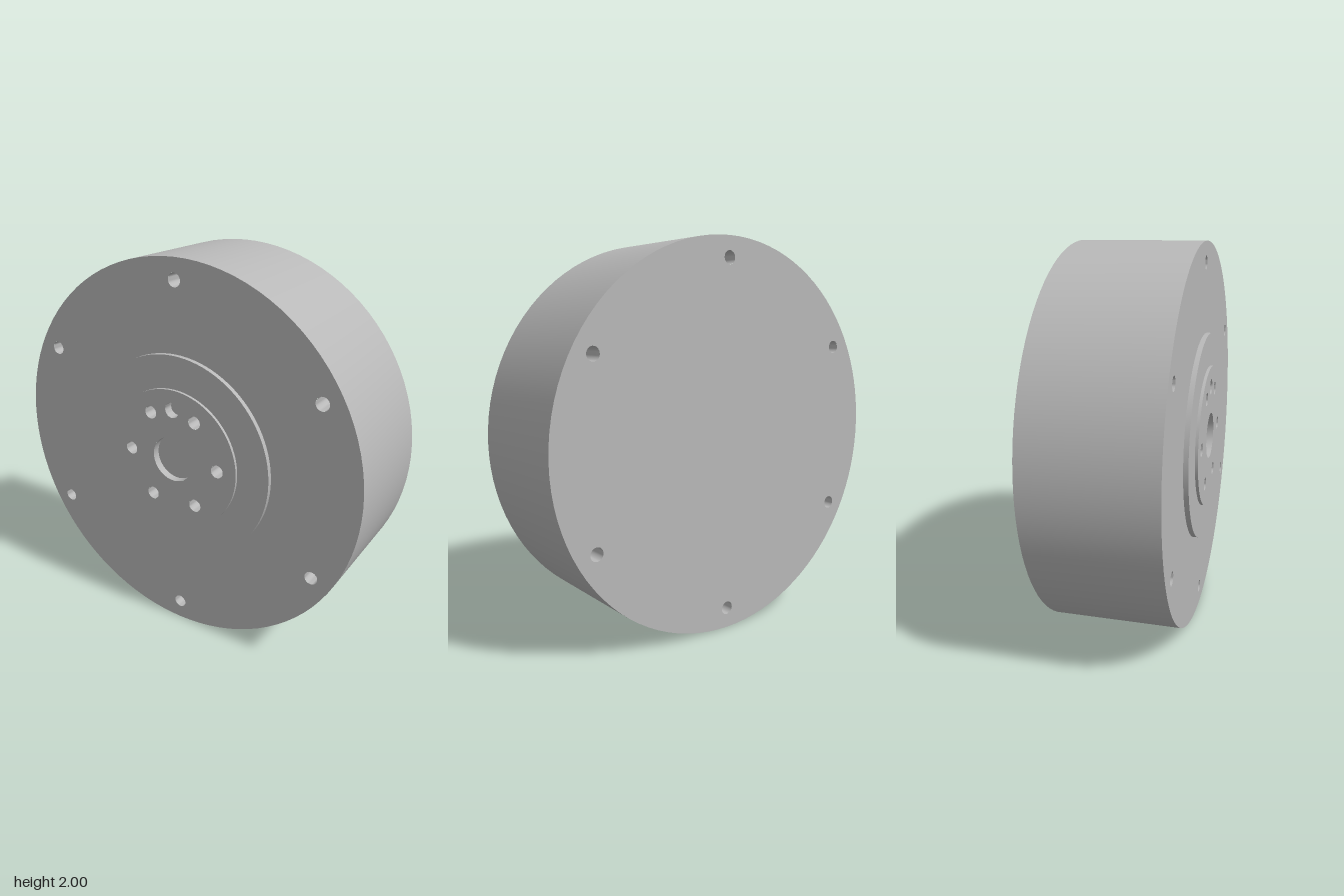
import * as THREE from 'three';
import { toCreasedNormals } from 'three/addons/utils/BufferGeometryUtils.js';

const BACK = -0.34, FACE = 0.3, STEP = 0.325, BOSS = 0.34;
const R_BODY = 1, R_STEP = 0.54, R_BOSS = 0.37, R_BORE = 0.12, R_BOLT = 0.034, R_PIN = 0.04;

export function createModel() {
  const metal = new THREE.MeshStandardMaterial({ color: 0xb8b8b8 });
  metal.name = 'grey metal';
  const model = new THREE.Group();
  model.name = 'rotaryActuator';
  const housing = new THREE.Group();
  housing.name = 'housing';
  housing.position.y = 1;
  model.add(housing);

  const add = (name, geometry) => {
    const mesh = new THREE.Mesh(geometry, metal);
    mesh.name = name;
    housing.add(mesh);
    return mesh;
  };

  // Surface turned about the z axis from [radius, z] pairs
  const turned = (profile, segments) => toCreasedNormals(
    new THREE.LatheGeometry(profile.map(([r, z]) => new THREE.Vector2(r, z)), segments)
      .rotateX(Math.PI / 2), 0.6);

  // Flat disc with round openings [x, y, radius]
  const plate = (radius, openings) => {
    const shape = new THREE.Shape().absarc(0, 0, radius, 0, Math.PI * 2);
    for (const [x, y, r] of openings) {
      shape.holes.push(new THREE.Path().absarc(x, y, r, 0, Math.PI * 2, true));
    }
    return new THREE.ShapeGeometry(shape, 48);
  };

  const boltCircle = (radius, start) => Array.from({ length: 6 }, (_, i) => {
    const a = start + i * Math.PI / 3;
    return [radius * Math.cos(a), radius * Math.sin(a), R_BOLT];
  });
  const outerBolts = boltCircle(0.895, Math.PI / 6);
  const innerBolts = boltCircle(0.263, 0);
  const bore = [0, 0, R_BORE], pin = [0, 0.265, R_PIN];

  // Cylindrical walls of the body, step and boss
  add('bodyWall', turned([[R_BODY, BACK], [R_BODY, FACE]], 96));
  add('stepWall', turned([[R_STEP, FACE], [R_STEP, STEP]], 96));
  add('bossWall', turned([[R_BOSS, STEP], [R_BOSS, BOSS]], 96));

  // Flat faces
  add('frontFace', plate(R_BODY, [[0, 0, R_STEP], ...outerBolts])).position.z = FACE;
  add('stepFace', plate(R_STEP, [[0, 0, R_BOSS]])).position.z = STEP;
  add('bossFace', plate(R_BOSS, [bore, pin, ...innerBolts])).position.z = BOSS;
  const back = add('backFace', plate(R_BODY, outerBolts));
  back.position.z = BACK;
  back.rotation.y = Math.PI;

  // Blind holes: drilled ones end in a cone, the others are flat
  const hole = (name, [x, y, r], z, depth, cone, backward = false) => {
    const mesh = add(name, turned([[r, 0], [r, -depth], [0, -depth - cone]], r > 0.1 ? 48 : 24));
    mesh.position.set(x, y, z);
    if (backward) mesh.rotation.y = Math.PI;
  };
  for (const bolt of outerBolts) {
    hole('frontBoltHole', bolt, FACE, 0.15, 0.02);
    hole('backBoltHole', bolt, BACK, 0.15, 0.02, true);
  }
  for (const bolt of innerBolts) hole('flangeBoltHole', bolt, BOSS, 0.12, 0.02);
  hole('centreBore', bore, BOSS, 0.04, 0);
  hole('pinHole', pin, BOSS, 0.05, 0);

  return model;
}
